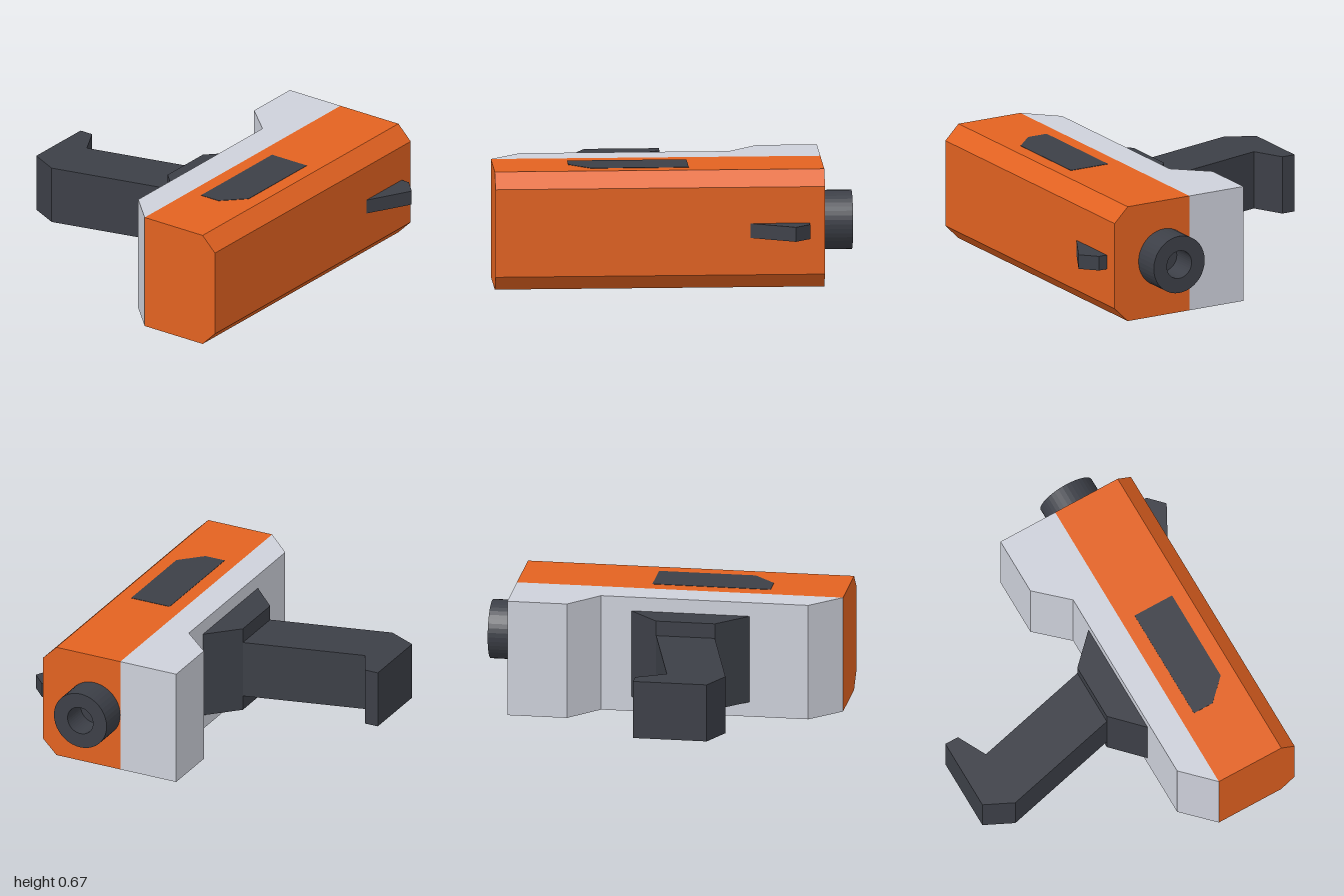
import * as THREE from 'three';

const material = (color) => new THREE.MeshStandardMaterial({ color, flatShading: true });
const toShape = (points) => new THREE.Shape(points.map(([a, b]) => new THREE.Vector2(a, b)));
const extrude = (points, depth) =>
  new THREE.ExtrudeGeometry(toShape(points), { depth, bevelEnabled: false });

// Plan outline in (x, z), raised from y0 to y1
function plate(name, points, y0, y1, mat) {
  const geometry = extrude(points, y1 - y0).rotateX(Math.PI / 2).translate(0, y1, 0);
  const mesh = new THREE.Mesh(geometry, mat);
  mesh.name = name;
  return mesh;
}

export function createModel() {
  const group = new THREE.Group();
  group.name = 'toyBlaster';
  const orange = material(0xe26220);
  const grey = material(0xcdd0da);
  const dark = material(0x3c3f47);
  const H = 0.665;

  // Upper body: chamfered section running front to back
  const body = new THREE.Mesh(
    extrude([[0.28, 0], [0.68, 0], [0.765, 0.085], [0.765, 0.58], [0.68, H], [0.28, H]], 1.835)
      .translate(0, 0, -0.835), orange);
  body.name = 'upperBody';
  group.add(body);

  // Lower frame with the deeper block under the muzzle
  group.add(plate('lowerFrame',
    [[0.28, -0.835], [-0.07, -0.835], [-0.07, -0.5], [0.11, -0.335], [0.11, 0.83], [0.28, 1]],
    0, H, grey));

  // Grip: flared collar and hooked handle
  group.add(plate('gripCollar',
    [[0.11, -0.165], [-0.055, 0], [-0.055, 0.33], [0.11, 0.5]], 0.085, 0.585, dark));
  group.add(plate('gripHandle',
    [[-0.055, 0], [-0.735, 0.165], [-0.82, 0], [-0.9, 0], [-0.9, 0.415], [-0.735, 0.495], [-0.055, 0.33]],
    0.17, 0.5, dark));

  // Sight fin
  group.add(plate('sight',
    [[0.765, -0.75], [0.815, -0.75], [0.897, -0.665], [0.765, -0.42]], 0.293, 0.375, dark));

  // Inlaid panels, showing on both sides
  group.add(plate('sidePanels',
    [[0.36, -0.085], [0.6, -0.085], [0.6, 0.46], [0.48, 0.58], [0.36, 0.58]], -0.002, H + 0.002, dark));

  // Muzzle: short tube with a closed bore
  const profile = [[0, 0.005], [0.08, 0.005], [0.08, 0.165], [0.165, 0.165], [0.165, 0]];
  const muzzle = new THREE.Mesh(
    new THREE.LatheGeometry(profile.map(([r, y]) => new THREE.Vector2(r, y)), 40),
    new THREE.MeshStandardMaterial({ color: 0x3c3f47, flatShading: true, side: THREE.DoubleSide }));
  muzzle.name = 'muzzle';
  muzzle.rotation.x = -Math.PI / 2;
  muzzle.position.set(0.445, 0.335, -0.835);
  group.add(muzzle);

  return group;
}
